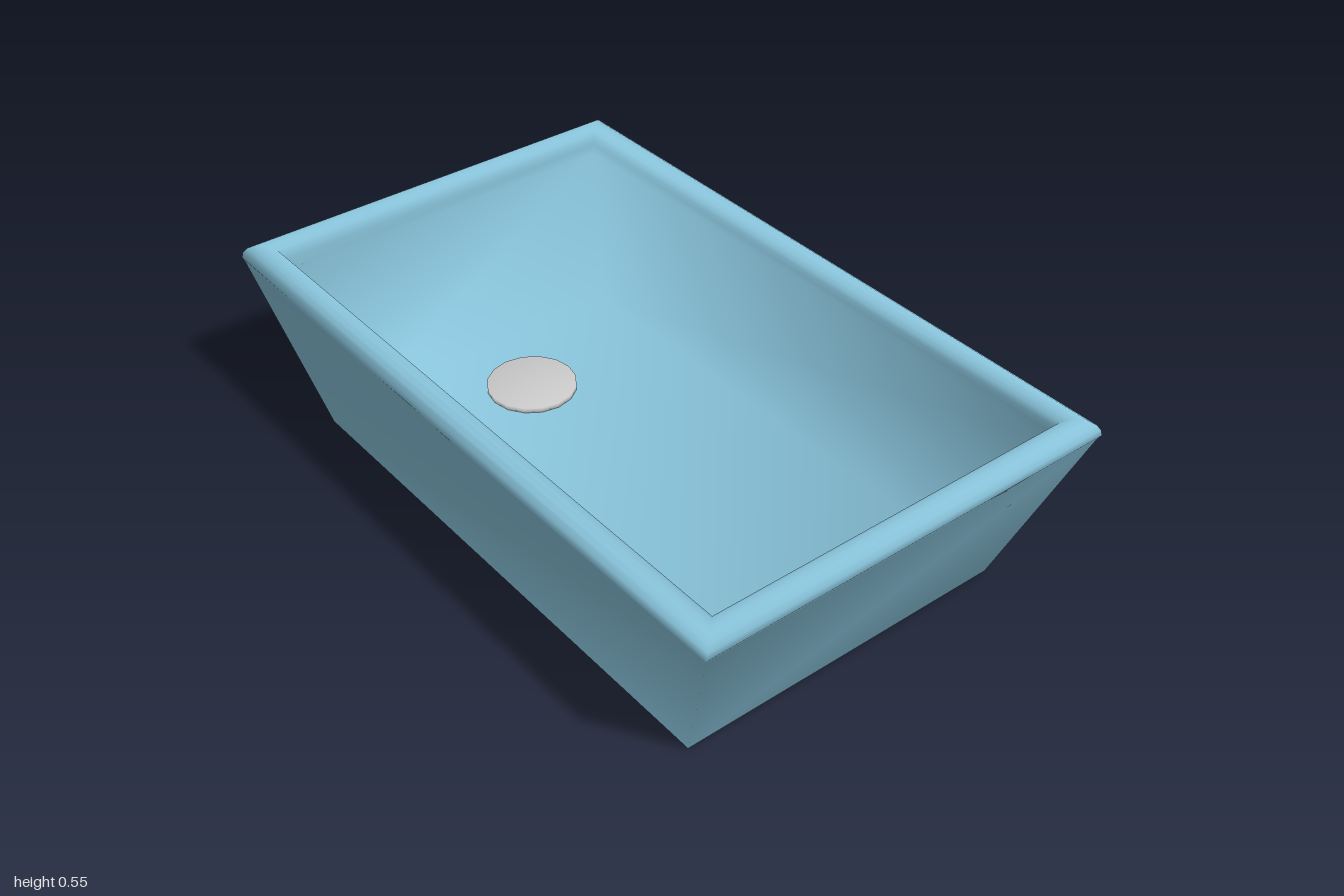
import * as THREE from 'three';

// Sweeps a profile of [halfWidth, y, halfDepth] around a rectangle, closing the last ring with a floor.
function rectangularShell(profile) {
  const corners = [[1, 1], [1, -1], [-1, -1], [-1, 1]];
  const positions = [];
  const index = [];
  for (const [hx, y, hz] of profile) {
    for (const [sx, sz] of corners) positions.push(sx * hx, y, sz * hz);
  }
  for (let i = 0; i < profile.length - 1; i++) {
    for (let k = 0; k < 4; k++) {
      const a = i * 4 + k;
      const b = i * 4 + (k + 1) % 4;
      index.push(a, b, b + 4, a, b + 4, a + 4);
    }
  }
  const f = (profile.length - 1) * 4;
  index.push(f, f + 1, f + 2, f, f + 2, f + 3);
  const geometry = new THREE.BufferGeometry();
  geometry.setAttribute('position', new THREE.Float32BufferAttribute(positions, 3));
  geometry.setIndex(index);
  geometry.computeVertexNormals();
  return geometry;
}

export function createModel() {
  const group = new THREE.Group();
  group.name = 'basin';

  // Tub: sloping outer wall, rounded rim, inner wall and raised floor, open underneath
  const profile = [[0.805, 0, 0.5], [0.99, 0.49, 0.613]];
  const r = 0.043;
  for (let i = 0; i <= 8; i++) {
    const a = (i / 8) * Math.PI;
    const dx = r * Math.cos(a);
    profile.push([0.957 + dx, 0.507 + r * Math.sin(a), 0.575 + dx]);
  }
  profile.push([0.905, 0.48, 0.525], [0.74, 0.08, 0.43]);
  const tub = new THREE.Mesh(
    rectangularShell(profile),
    new THREE.MeshStandardMaterial({ color: 0x8cc8e0, side: THREE.DoubleSide })
  );
  tub.name = 'tub';
  group.add(tub);

  // Drain cover: thin smooth disc set through the floor
  const points = [[0, -0.01], [0.13, -0.01], [0.13, 0.015], [0, 0.015]]
    .map(([x, y]) => new THREE.Vector2(x, y));
  const drain = new THREE.Mesh(
    new THREE.LatheGeometry(points, 16),
    new THREE.MeshStandardMaterial({ color: 0xcccccc })
  );
  drain.name = 'drainCover';
  drain.position.set(-0.5, 0.08, 0.012);
  group.add(drain);

  return group;
}
